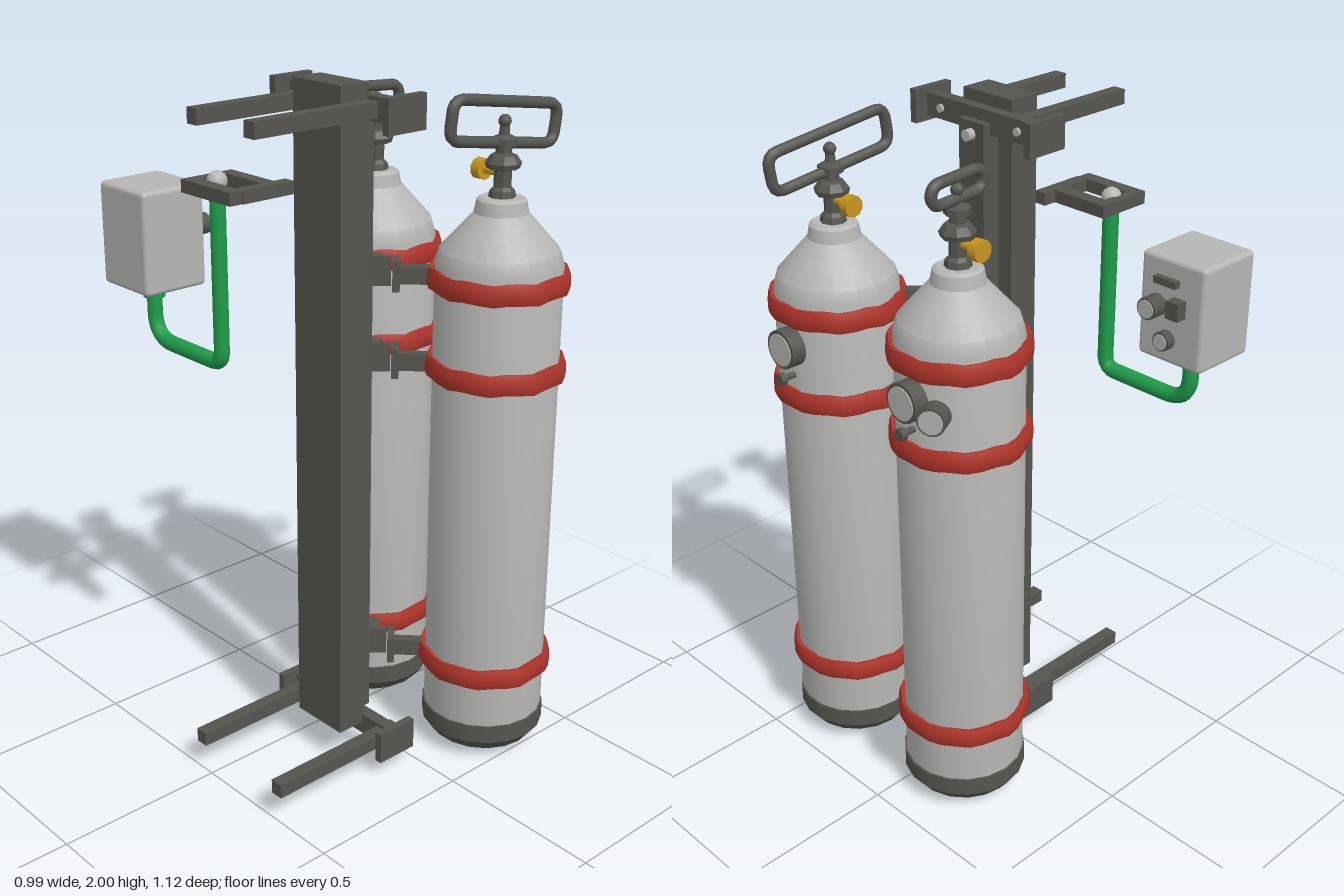
import * as THREE from 'three';
import { RoundedBoxGeometry } from 'three/addons/geometries/RoundedBoxGeometry.js';
import { toCreasedNormals } from 'three/addons/utils/BufferGeometryUtils.js';

const material = (name, color) => new THREE.MeshStandardMaterial({ name, color });
const steel = material('paleGrey', 0xb6b6b4);
const dark = material('darkGrey', 0x555550);
const red = material('strapRed', 0xb0352b);
const green = material('hoseGreen', 0x1f9d4b);
const gold = material('valveGold', 0xc8961e);

const V = (x, y, z) => new THREE.Vector3(x, y, z);

function add(parent, name, geometry, mat, x = 0, y = 0, z = 0) {
  const mesh = new THREE.Mesh(geometry, mat);
  mesh.name = name;
  mesh.position.set(x, y, z);
  parent.add(mesh);
  return mesh;
}

// Box given by its minimum and maximum corners
function box(parent, name, mat, [x0, y0, z0], [x1, y1, z1]) {
  return add(parent, name, new THREE.BoxGeometry(x1 - x0, y1 - y0, z1 - z0), mat,
    (x0 + x1) / 2, (y0 + y1) / 2, (z0 + z1) / 2);
}

function lathe(points, sides = 18) {
  const profile = points.map(([r, y]) => new THREE.Vector2(r, y));
  return toCreasedNormals(new THREE.LatheGeometry(profile, sides), 0.5);
}

// Disc whose axis runs along x, starting at x
function discX(parent, name, mat, r, x, length, y, z, sides = 14) {
  const geometry = new THREE.CylinderGeometry(r, r, length, sides).rotateZ(-Math.PI / 2);
  return add(parent, name, geometry, mat, x + length / 2, y, z);
}

// Slightly rumpled band around a tank
function strapGeometry() {
  const geometry = new THREE.LatheGeometry([
    [0.177, -0.027], [0.19, -0.03], [0.197, -0.012], [0.195, 0.014], [0.189, 0.03], [0.177, 0.027], [0.177, -0.027],
  ].map(([r, y]) => new THREE.Vector2(r, y)), 28);
  const p = geometry.attributes.position;
  for (let i = 0; i < p.count; i++) {
    const a = Math.atan2(p.getZ(i), p.getX(i));
    const s = 1 + 0.012 * Math.sin(7 * a);
    p.setXYZ(i, p.getX(i) * s, p.getY(i) + 0.004 * Math.sin(9 * a + 1), p.getZ(i) * s);
  }
  geometry.computeVertexNormals();
  return toCreasedNormals(geometry, 0.6);
}

// Rounded rectangular loop handle
function handleGeometry(w, h, r) {
  const path = new THREE.CurvePath();
  const c = 0.035, x = w / 2 - r, y = h / 2 - r;
  const corners = [[x, y, 0, -1], [x, -y, -1, 0], [-x, -y, 0, 1], [-x, y, 1, 0]];
  corners.forEach(([cx, cy, dx, dy], i) => {
    const [px, py] = corners[(i + 3) % 4].slice(2);
    const [nx, ny] = corners[(i + 1) % 4];
    const start = V(cx - px * c, cy - py * c, 0), end = V(cx + dx * c, cy + dy * c, 0);
    path.add(new THREE.QuadraticBezierCurve3(start, V(cx, cy, 0), end));
    path.add(new THREE.LineCurve3(end, V(nx - dx * c, ny - dy * c, 0)));
  });
  return new THREE.TubeGeometry(path, 64, r, 8, true);
}

function gauge(parent, r, y, z, angle = 0, x = 0.165, length = 0.045) {
  const g = new THREE.Group();
  g.name = 'gauge';
  g.rotation.y = angle;
  parent.add(g);
  discX(g, 'gaugeStem', dark, 0.018, x, 0.03, y, z);
  discX(g, 'gaugeCase', dark, r, x + 0.008, length, y, z, 18);
  discX(g, 'gaugeFace', steel, r * 0.84, x + 0.008 + length, 0.003, y, z, 18);
}

function createTank(name, x, z, handle, clampAngle) {
  const tank = new THREE.Group();
  tank.name = name;
  tank.position.set(x, 0, z);
  add(tank, 'baseCap', lathe([[0, 0], [0.11, 0], [0.155, 0.03], [0.182, 0.065], [0.182, 0.12], [0.177, 0.12]]), dark);
  add(tank, 'bottle', lathe([[0.177, 0.115], [0.177, 1.49], [0.165, 1.53], [0.12, 1.58], [0.075, 1.63], [0.068, 1.665], [0.058, 1.672], [0, 1.672]]), steel);

  // Straps and their clamps, which reach towards the column
  const strap = strapGeometry();
  for (const y of [0.283, 1.197, 1.45]) {
    add(tank, 'strap', strap, red, 0, y, 0);
    const clamp = new THREE.Group();
    clamp.name = 'clamp';
    clamp.position.y = y;
    clamp.rotation.y = clampAngle;
    tank.add(clamp);
    box(clamp, 'clampArm', dark, [0.175, -0.025, -0.016], [0.28, 0.025, 0.016]);
    box(clamp, 'clampPlate', dark, [0.27, -0.042, -0.036], [0.29, 0.042, 0.036]);
  }

  // Valve with its gold side knob
  add(tank, 'valveStem', lathe([[0.04, 1.66], [0.034, 1.69], [0.024, 1.70], [0.024, 1.745], [0.045, 1.75],
    [0.05, 1.765], [0.036, 1.785], [0.022, 1.79], [0.022, 1.81], [0.036, 1.812], [0.036, 1.83], [0.015, 1.84], [0.012, 1.87], [0, 1.87]], 8), dark);
  add(tank, 'knobStem', new THREE.CylinderGeometry(0.012, 0.012, 0.07, 8).rotateX(Math.PI / 2), gold, 0, 1.735, -0.04);
  add(tank, 'knob', new THREE.CylinderGeometry(0.03, 0.03, 0.028, 10).rotateX(Math.PI / 2), gold, 0, 1.735, -0.078);
  add(tank, 'handleBoss', new THREE.SphereGeometry(0.018, 10, 8), dark, 0, 1.875, 0);
  const loop = add(tank, 'handle', handleGeometry(handle.w, handle.h, 0.016), dark, 0, handle.y, 0);
  loop.rotation.set(0, handle.yaw, handle.tilt);

  // Gauge and bleed fitting
  gauge(tank, 0.056, 1.358, -0.012);
  discX(tank, 'bleedStem', dark, 0.009, 0.165, 0.05, 1.268, -0.01, 8);
  discX(tank, 'bleedNut', dark, 0.018, 0.21, 0.018, 1.268, -0.01, 8);
  return tank;
}

function createRack() {
  const rack = new THREE.Group();
  rack.name = 'rack';
  box(rack, 'column', dark, [-0.19, 0.11, 0.035], [-0.095, 2, 0.22]);
  box(rack, 'columnRib', dark, [-0.096, 0.13, 0.085], [-0.038, 1.935, 0.18]);
  for (const y of [0.18, 1.9]) discX(rack, 'ribBolt', steel, 0.017, -0.038, 0.022, y, 0.132, 8);

  // Upper and lower crossbars, each with end flanges and two wall rails
  const levels = [
    { y: 1.935, rails: [0.014, 0.24], end: -0.08 },
    { y: 0.103, rails: [-0.043, 0.3], end: -0.045 },
  ];
  for (const { y, rails, end } of levels) {
    box(rack, 'crossbar', dark, [-0.1, y - 0.032, -0.09], [-0.062, y + 0.032, 0.345]);
    for (const z of [-0.094, 0.343]) box(rack, 'flange', dark, [-0.152, y - 0.047, z - 0.011], [-0.02, y + 0.047, z + 0.011]);
    for (const z of rails) box(rack, 'wallRail', dark, [-0.5, y - 0.021, z - 0.02], [end, y + 0.021, z + 0.02]);
    for (const z of [-0.02, 0.275]) discX(rack, 'crossbarBolt', steel, 0.012, -0.064, 0.01, y, z, 8);
  }
  return rack;
}

function createControlUnit() {
  const unit = new THREE.Group();
  unit.name = 'controlUnit';
  add(unit, 'controlBox', new RoundedBoxGeometry(0.208, 0.3, 0.215, 3, 0.014), steel, -0.308, 1.51, -0.45);

  // Controls on the +x face
  const x = -0.205;
  box(unit, 'slot', dark, [x, 1.588, -0.475], [x + 0.02, 1.608, -0.4]);
  box(unit, 'switchBlock', dark, [x, 1.508, -0.5], [x + 0.035, 1.558, -0.458]);
  discX(unit, 'dialBase', dark, 0.031, x, 0.05, 1.522, -0.405);
  discX(unit, 'dialFace', steel, 0.026, x + 0.05, 0.003, 1.522, -0.405);
  discX(unit, 'knobBase', dark, 0.027, x, 0.03, 1.432, -0.443);
  discX(unit, 'knobFace', steel, 0.022, x + 0.03, 0.003, 1.432, -0.443);

  // Hose from the box down, across and up to the bracket
  const hx = -0.318;
  const hose = new THREE.CurvePath();
  const line = (a, b) => hose.add(new THREE.LineCurve3(a, b));
  const bend = (a, b, c) => hose.add(new THREE.QuadraticBezierCurve3(a, b, c));
  line(V(hx, 1.37, -0.443), V(hx, 1.28, -0.443));
  bend(V(hx, 1.28, -0.443), V(hx, 1.2, -0.443), V(hx, 1.2, -0.36));
  line(V(hx, 1.2, -0.36), V(hx, 1.2, -0.17));
  bend(V(hx, 1.2, -0.17), V(hx, 1.2, -0.13), V(hx, 1.24, -0.13));
  line(V(hx, 1.24, -0.13), V(hx, 1.7, -0.13));
  add(unit, 'hose', new THREE.TubeGeometry(hose, 70, 0.023, 10), green);
  add(unit, 'hoseCollar', new THREE.CylinderGeometry(0.032, 0.032, 0.04, 12), green, hx, 1.345, -0.443);
  add(unit, 'hoseCap', new THREE.SphereGeometry(0.029, 12, 8), steel, hx, 1.718, -0.13);

  // Bracket frame holding the hose
  for (const x0 of [-0.4, -0.272]) box(unit, 'bracketArm', dark, [x0, 1.692, -0.18], [x0 + 0.042, 1.728, 0.03]);
  box(unit, 'bracketBack', dark, [-0.36, 1.692, -0.18], [-0.27, 1.728, -0.148]);
  box(unit, 'bracketFront', dark, [-0.36, 1.692, 0], [-0.19, 1.728, 0.035]);
  return unit;
}

export function createModel() {
  const model = new THREE.Group();
  model.name = 'gasBottleRack';
  const nearTank = createTank('frontTank', 0.263, 0.363, { w: 0.42, h: 0.14, y: 1.872, tilt: -0.14, yaw: -0.05 }, Math.PI - 0.8);
  const farTank = createTank('rearTank', 0.238, -0.106, { w: 0.21, h: 0.09, y: 1.88, tilt: -0.06, yaw: 0 }, -Math.PI + 0.85);
  gauge(farTank, 0.04, 1.338, 0, 0.5, 0.18, 0.05);
  model.add(nearTank, farTank, createRack(), createControlUnit());
  return model;
}
